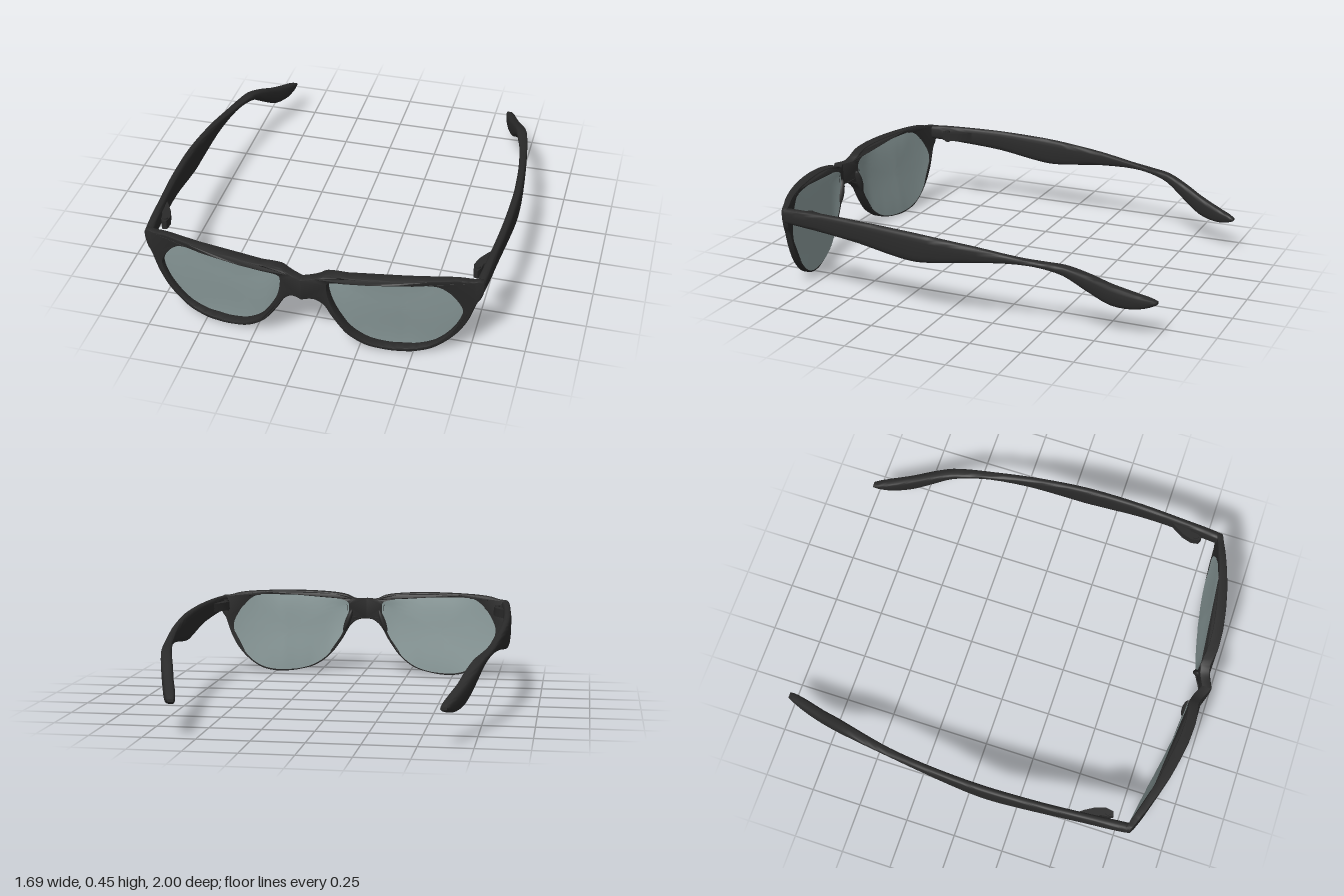
import * as THREE from 'three';
import { toCreasedNormals } from 'three/addons/utils/BufferGeometryUtils.js';

const black = new THREE.MeshStandardMaterial({ color: 0x2a2a2a });
const tint = new THREE.MeshStandardMaterial({ color: 0x8a9a9a, side: THREE.DoubleSide });

// Smooth 2D curve through a few [x, y] points
function smooth(points, count, closed = false) {
  const curve = new THREE.CatmullRomCurve3(points.map(([x, y]) => new THREE.Vector3(x, y, 0)), closed);
  const out = curve.getPoints(count).map(p => new THREE.Vector2(p.x, p.y));
  if (closed) out.pop();
  return out;
}

// Linear lookup in rows [key, value] with rising keys
function lookup(rows, key) {
  let i = 1;
  while (i < rows.length - 1 && rows[i][0] < key) i++;
  const [[k0, v0], [k1, v1]] = [rows[i - 1], rows[i]];
  return THREE.MathUtils.lerp(v0, v1, THREE.MathUtils.clamp((key - k0) / (k1 - k0), 0, 1));
}

// Wrap of the front: z of the front face by x, curving back towards the bottom
const WRAP = [[0, 0.998], [0.06, 0.97], [0.1, 0.96], [0.2, 0.973], [0.3, 0.968], [0.4, 0.953],
  [0.5, 0.932], [0.6, 0.903], [0.7, 0.868], [0.8, 0.828]];
const lean = y => 0.05 * ((0.44 - y) / 0.44) ** 2;
// Rim depth, thinner towards the outer corner
const DEPTH = 0.05;
const thin = x => 1 - 0.4 * THREE.MathUtils.clamp((x - 0.45) / 0.35, 0, 1);

// Half outline of the frame, from the bridge underside round to the bridge top
const OUTER = [[-0.01, 0.295], [0.04, 0.293], [0.085, 0.262], [0.135, 0.18], [0.2, 0.093], [0.28, 0.036],
  [0.365, 0.012], [0.44, 0.003], [0.505, 0.005], [0.58, 0.025], [0.645, 0.07], [0.7, 0.13], [0.74, 0.2],
  [0.762, 0.26], [0.777, 0.305], [0.795, 0.335], [0.805, 0.38], [0.8, 0.425], [0.755, 0.432], [0.69, 0.446],
  [0.48, 0.453], [0.23, 0.446], [0.11, 0.432], [0.06, 0.41], [-0.01, 0.408]];
const HOLE = [[0.115, 0.383], [0.165, 0.4], [0.28, 0.413], [0.48, 0.421], [0.6, 0.418], [0.655, 0.38],
  [0.695, 0.325], [0.718, 0.265], [0.7, 0.19], [0.655, 0.115], [0.59, 0.055], [0.515, 0.028], [0.45, 0.024],
  [0.37, 0.029], [0.29, 0.053], [0.22, 0.103], [0.16, 0.19], [0.125, 0.27], [0.11, 0.35]];

function rimGeometry() {
  const shape = new THREE.Shape(smooth(OUTER, 110));
  shape.holes.push(new THREE.Path(smooth(HOLE, 90, true)));
  const bevel = 0.006;
  const g = new THREE.ExtrudeGeometry(shape, {
    depth: DEPTH - 2 * bevel, bevelEnabled: true, bevelThickness: bevel, bevelSize: bevel,
    bevelOffset: -bevel, bevelSegments: 2, steps: 1,
  });
  const p = g.attributes.position;
  for (let i = 0; i < p.count; i++) {
    // the two halves meet exactly on the centre line
    const x = Math.max(p.getX(i), 0), y = p.getY(i);
    const z = (p.getZ(i) + bevel - DEPTH) * thin(x) + lookup(WRAP, x) - lean(y);
    p.setXYZ(i, x, y, z);
  }
  return toCreasedNormals(g, 0.7);
}

// Lens: concentric rings of the opening, seated against the back of the rim
function lensGeometry() {
  const edge = smooth(HOLE, 72, true), n = edge.length, rings = 10, cx = 0.42, cy = 0.235;
  const pos = [], index = [];
  for (let r = 0; r <= rings; r++) {
    for (const e of edge) {
      const k = 1.055 * r / rings;
      const x = cx + (e.x - cx) * k, y = cy + (e.y - cy) * k;
      const z = THREE.MathUtils.lerp(0.976 - 0.225 * x * x, lookup(WRAP, x), (r / rings) ** 3);
      pos.push(x, y, z - lean(y) - (DEPTH + 0.002) * thin(x));
    }
  }
  for (let r = 0; r < rings; r++) {
    for (let i = 0; i < n; i++) {
      const a = r * n + i, b = r * n + (i + 1) % n;
      index.push(a, a + n, b, b, a + n, b + n);
    }
  }
  const g = new THREE.BufferGeometry();
  g.setAttribute('position', new THREE.Float32BufferAttribute(pos, 3));
  g.setIndex(index);
  g.computeVertexNormals();
  // the outline runs clockwise, so the rings are turned to face the front
  g.index.array.reverse();
  g.computeVertexNormals();
  return g;
}

// Temple stations: z, inner x, outer x, bottom y, top y
const TEMPLE = [[-1, 0.6, 0.63, 0.168, 0.182], [-0.97, 0.602, 0.645, 0.155, 0.196],
  [-0.9, 0.618, 0.672, 0.143, 0.22], [-0.8, 0.65, 0.705, 0.16, 0.257], [-0.7, 0.68, 0.738, 0.224, 0.303],
  [-0.6, 0.712, 0.766, 0.292, 0.337], [-0.5, 0.738, 0.785, 0.32, 0.347], [-0.4, 0.76, 0.8, 0.328, 0.357],
  [-0.2, 0.787, 0.825, 0.315, 0.386], [0, 0.801, 0.842, 0.288, 0.407], [0.1, 0.804, 0.846, 0.28, 0.416],
  [0.2, 0.804, 0.846, 0.29, 0.422], [0.4, 0.799, 0.838, 0.324, 0.43], [0.6, 0.785, 0.824, 0.343, 0.432],
  [0.74, 0.772, 0.815, 0.352, 0.43], [0.81, 0.765, 0.808, 0.355, 0.427]];

function templeGeometry() {
  const sides = 20, pos = [], index = [];
  // smooth the stations along z
  const a = new THREE.CatmullRomCurve3(TEMPLE.map(t => new THREE.Vector3(t[1], t[2], t[0])));
  const b = new THREE.CatmullRomCurve3(TEMPLE.map(t => new THREE.Vector3(t[3], t[4], t[0])));
  const round = v => Math.sign(v) * Math.abs(v) ** 0.6;
  const steps = (TEMPLE.length - 1) * 3;
  for (let s = 0; s <= steps; s++) {
    const w = a.getPoint(s / steps), h = b.getPoint(s / steps);
    for (let i = 0; i < sides; i++) {
      const t = i / sides * Math.PI * 2;
      pos.push((w.x + w.y) / 2 + round(Math.cos(t)) * (w.y - w.x) / 2,
        (h.x + h.y) / 2 + round(Math.sin(t)) * (h.y - h.x) / 2, w.z);
    }
  }
  for (let s = 0; s < steps; s++) {
    for (let i = 0; i < sides; i++) {
      const p = s * sides + i, q = s * sides + (i + 1) % sides;
      index.push(p, q, p + sides, q, q + sides, p + sides);
    }
  }
  // end caps
  const last = steps * sides;
  for (let i = 1; i < sides - 1; i++) index.push(0, i + 1, i, last, last + i, last + i + 1);
  const g = new THREE.BufferGeometry();
  g.setAttribute('position', new THREE.Float32BufferAttribute(pos, 3));
  g.setIndex(index);
  return toCreasedNormals(g, 0.8);
}

// Hinge lug drawn in plan (x, z), stood up along y
function hingeGeometry() {
  const plan = [[0.795, 0.56], [0.772, 0.59], [0.745, 0.635], [0.73, 0.685], [0.736, 0.722], [0.756, 0.73],
    [0.768, 0.705], [0.772, 0.67], [0.795, 0.65]];
  const shape = new THREE.Shape(plan.map(([x, z]) => new THREE.Vector2(x, -z)));
  const g = new THREE.ExtrudeGeometry(shape, { depth: 0.045, bevelEnabled: false });
  g.rotateX(-Math.PI / 2).translate(0, 0.365, 0);
  return toCreasedNormals(g, 0.7);
}

export function createModel() {
  const model = new THREE.Group();
  model.name = 'sunglasses';
  const add = (parent, name, geometry, material) => {
    const mesh = new THREE.Mesh(geometry, material);
    mesh.name = name;
    parent.add(mesh);
    return mesh;
  };
  const rim = rimGeometry(), lens = lensGeometry(), temple = templeGeometry(), hinge = hingeGeometry();
  const pad = new THREE.SphereGeometry(1, 16, 12);
  const pin = new THREE.CylinderGeometry(0.014, 0.014, 0.06, 16);

  for (const side of [1, -1]) {
    const half = new THREE.Group();
    half.name = side > 0 ? 'leftHalf' : 'rightHalf';
    half.scale.x = side;
    add(half, 'rim', rim, black);
    add(half, 'lens', lens, tint);
    add(half, 'temple', temple, black);
    add(half, 'hinge', hinge, black);
    add(half, 'hingePin', pin, black).position.set(0.75, 0.387, 0.7);
    // nose pad behind the inner edge of the rim
    const nose = add(half, 'nosePad', pad, black);
    nose.scale.set(0.016, 0.07, 0.022);
    nose.position.set(0.1, 0.285, 0.91);
    nose.rotation.z = 0.35;
    model.add(half);
  }
  return model;
}
